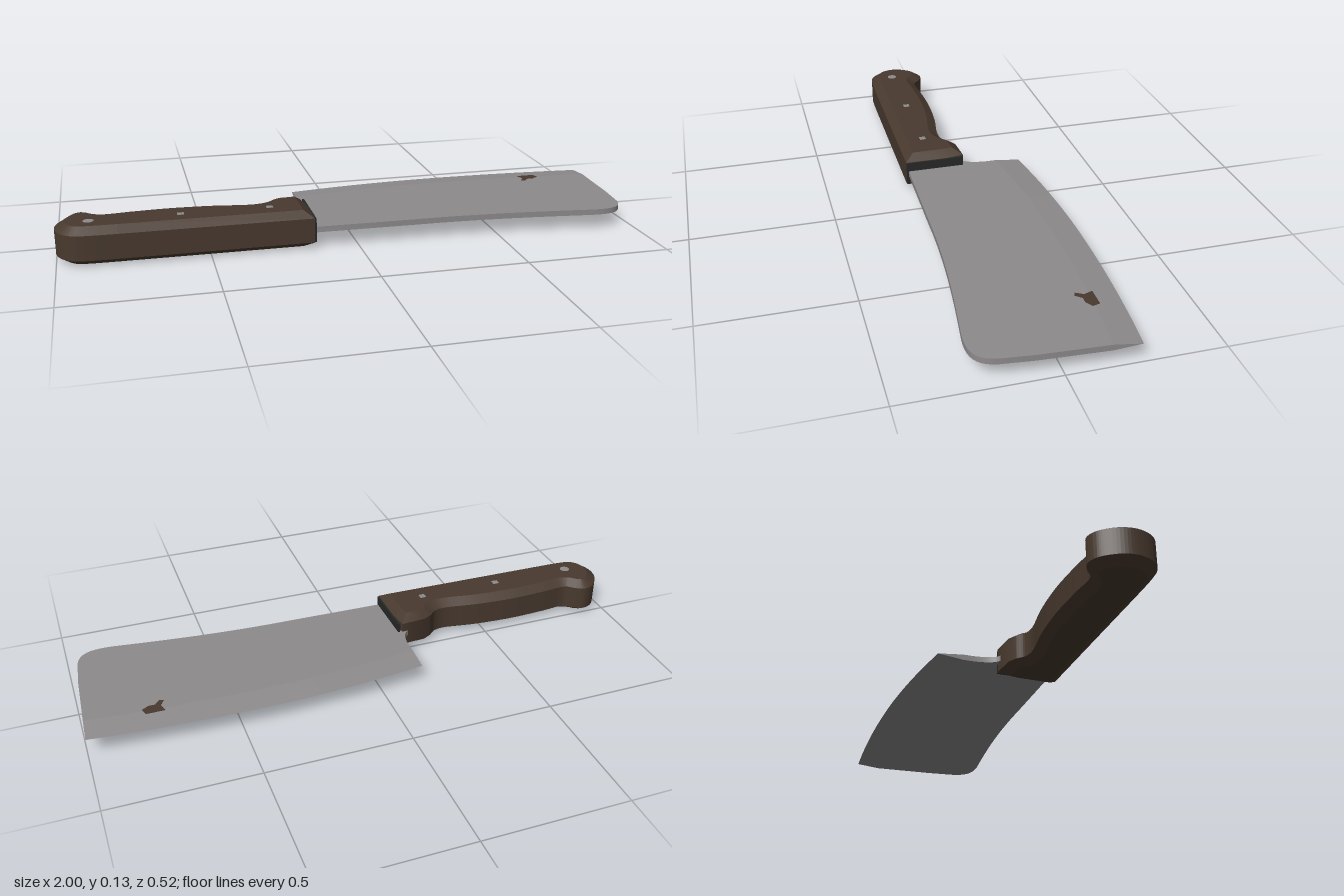
import * as THREE from 'three';
import { toCreasedNormals } from 'three/addons/utils/BufferGeometryUtils.js';

const mat = (name, color) => {
  const m = new THREE.MeshStandardMaterial({ color });
  m.name = name;
  return m;
};
const MID = 0.065;    // height of the blade's middle plane
const HALF = 0.01;    // half the blade thickness
const GRIND = 0.09;   // width of the ground cutting edge
const HEEL = -0.15;   // x of the blade's heel
const N = 32;

// z of the cutting edge, a shallow arc
const edgeZ = (x) => -0.26 + (x < 0.43 ? 0.134 : 0.09) * (x - 0.43) ** 2;
const edgeX = (i) => HEEL + (1 - HEEL) * i / N;
const grindX = (i) => HEEL + (0.995 - HEEL) * i / N;

// Lays an extruded (x, z) outline flat around the middle plane
function flat(shape, options, height) {
  const g = new THREE.ExtrudeGeometry(shape, { depth: height, bevelEnabled: false, curveSegments: 10, ...options });
  g.translate(0, 0, -height / 2);
  g.rotateX(Math.PI / 2);
  g.translate(0, MID, 0);
  return toCreasedNormals(g, 0.5);
}

function bladeGeometry() {
  const s = new THREE.Shape();
  s.moveTo(grindX(0), edgeZ(edgeX(0)) + GRIND);
  for (let i = 1; i <= N; i++) s.lineTo(grindX(i), edgeZ(edgeX(i)) + GRIND);
  s.lineTo(0.982, 0.08);
  s.lineTo(0.97, 0.19);
  s.bezierCurveTo(0.958, 0.25, 0.92, 0.268, 0.84, 0.26);
  s.bezierCurveTo(0.65, 0.235, 0.45, 0.21, 0.2, 0.21);
  s.lineTo(-0.18, 0.204);
  s.lineTo(-0.24, 0.18);
  s.lineTo(-0.24, 0.02);
  s.lineTo(-0.19, 0);
  s.quadraticCurveTo(-0.155, -0.01, HEEL, -0.09);
  return flat(s, {}, HALF * 2);
}

// Wedge-shaped cross-sections along the cutting edge: top, tip, bottom
function edgeGeometry() {
  const pos = [], idx = [];
  for (let i = 0; i <= N; i++) {
    const x = edgeX(i), z = edgeZ(x);
    pos.push(grindX(i), MID + HALF, z + GRIND, x, MID, z, grindX(i), MID - HALF, z + GRIND);
    if (i === N) break;
    const t = i * 3, e = t + 1, b = t + 2;
    idx.push(e, t, t + 3, e, t + 3, e + 3);
    idx.push(e, b + 3, b, e, e + 3, b + 3);
  }
  const l = N * 3;
  idx.push(1, 2, 0, l + 1, l, l + 2);
  const g = new THREE.BufferGeometry();
  g.setAttribute('position', new THREE.Float32BufferAttribute(pos, 3));
  g.setIndex(idx);
  g.computeVertexNormals();
  return toCreasedNormals(g, 0.5);
}

function handleGeometry() {
  const s = new THREE.Shape();
  s.moveTo(-0.152, 0.212);
  s.lineTo(-0.152, 0.06);
  s.lineTo(-0.162, -0.004);
  s.lineTo(-0.25, 0.002);
  s.splineThru([[-0.28, 0.018], [-0.31, 0.042], [-0.36, 0.048], [-0.48, 0.03], [-0.62, 0.022],
    [-0.75, 0.027], [-0.84, 0.033], [-0.88, 0.006], [-0.915, -0.007], [-0.955, 0.01], [-0.99, 0.06],
    [-1, 0.11], [-0.985, 0.16], [-0.95, 0.193], [-0.9, 0.204], [-0.8, 0.207]]
    .map(([x, z]) => new THREE.Vector2(x, z)));
  return flat(s, {
    bevelEnabled: true, bevelSegments: 1, bevelSize: 0.033, bevelThickness: 0.022, bevelOffset: -0.033,
    curveSegments: 48,
  }, 0.086);
}

export function createModel() {
  const steel = mat('steel', 0x8e8b8c);
  const wood = mat('dark wood', 0x48392e);
  const black = mat('black', 0x272928);
  const model = new THREE.Group();
  model.name = 'cleaver';
  const add = (name, geometry, material) => {
    const m = new THREE.Mesh(geometry, material);
    m.name = name;
    model.add(m);
    return m;
  };

  add('blade', bladeGeometry(), steel);
  add('cuttingEdge', edgeGeometry(), steel);
  add('handle', handleGeometry(), wood);

  // Dark plate closing the front end of the handle
  add('handleEndPlate', new THREE.BoxGeometry(0.008, 0.084, 0.212), black).position.set(-0.15, MID, 0.105);

  // Rivets, flush on both faces of the handle
  [[-0.89, 0.018, 12], [-0.59, 0.016, 4], [-0.29, 0.016, 4]].forEach(([x, r, sides]) => {
    for (const y of [0.0013, 0.1297]) {
      const rivet = add('rivet', new THREE.CylinderGeometry(r, r, 0.002, sides), steel);
      rivet.position.set(x, y, 0.12);
      rivet.rotation.y = Math.PI / 4;
    }
  });

  // Small irregular stain on the blade
  const stain = new THREE.Shape([[0.735, -0.175], [0.8, -0.175], [0.808, -0.15], [0.785, -0.135],
    [0.762, -0.135], [0.745, -0.115], [0.73, -0.12], [0.745, -0.145]].map(([x, z]) => new THREE.Vector2(x, z)));
  const mark = add('stain', flat(stain, {}, 0.001), wood);
  mark.position.y = HALF;

  return model;
}
